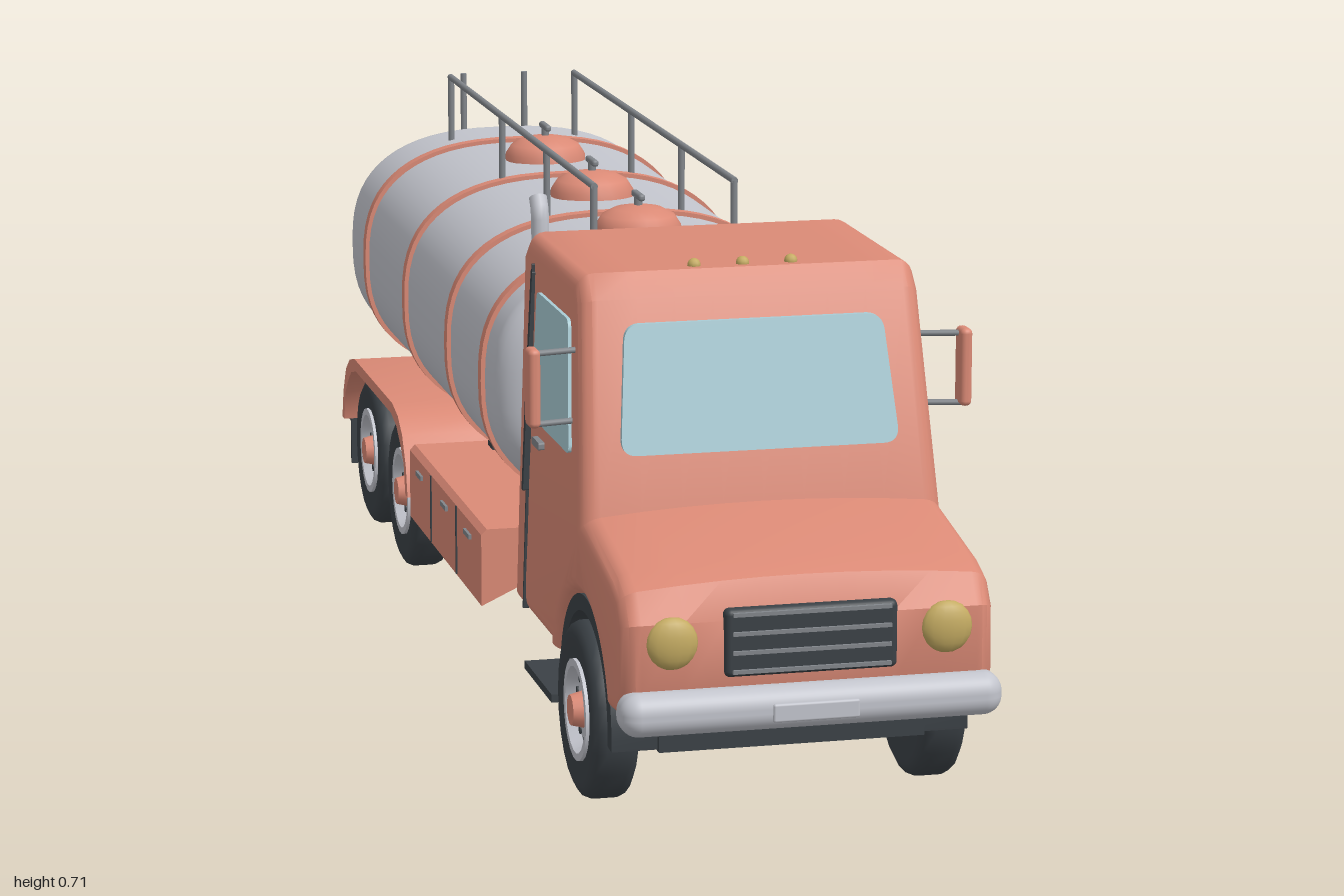
import * as THREE from 'three';
import { toCreasedNormals } from 'three/addons/utils/BufferGeometryUtils.js';
import { RoundedBoxGeometry } from 'three/addons/geometries/RoundedBoxGeometry.js';

const mat = (name, color) => Object.assign(new THREE.MeshStandardMaterial({ color }), { name });
const PAINT = mat('coral paint', 0xdb8a76), STEEL = mat('light steel', 0xc3c5cd);
const DARK = mat('dark rubber', 0x3b4146), GLASS = mat('window glass', 0xa9ccd5);
const GOLD = mat('lamp yellow', 0xc4ab62), GREY = mat('grey metal', 0x82868b);

export function createModel() {
  const root = new THREE.Group();
  root.name = 'tankTruck';

  const add = (name, geo, material, x = 0, y = 0, z = 0, parent = root) => {
    const m = new THREE.Mesh(geo, material);
    m.name = name;
    m.position.set(x, y, z);
    parent.add(m);
    return m;
  };
  const box = (name, m, w, h, d, x, y, z) => add(name, new THREE.BoxGeometry(w, h, d), m, x, y, z);
  const rod = (name, m, a, b, r) => {
    const p = new THREE.Vector3(...a), q = new THREE.Vector3(...b), dir = q.clone().sub(p);
    const mesh = add(name, new THREE.CylinderGeometry(r, r, dir.length(), 10), m);
    mesh.position.copy(p).add(q).multiplyScalar(0.5);
    mesh.quaternion.setFromUnitVectors(new THREE.Vector3(0, 1, 0), dir.normalize());
    return mesh;
  };
  const poly = pts => new THREE.Shape(pts.map(p => new THREE.Vector2(...p)));
  const roundedPoly = (pts, r) => {
    const s = new THREE.Shape(), v = pts.map(p => new THREE.Vector2(...p));
    v.forEach((p, i) => {
      const toward = q => q.clone().sub(p).setLength(r).add(p);
      const a = toward(v[(i + v.length - 1) % v.length]), b = toward(v[(i + 1) % v.length]);
      if (i) s.lineTo(a.x, a.y); else s.moveTo(a.x, a.y);
      s.quadraticCurveTo(p.x, p.y, b.x, b.y);
    });
    return s;
  };
  // Extrudes a (z, y) side profile across x, centred
  const sideExtrude = (shape, width, bevel = 0, steps = 1) => {
    const depth = width - 2 * bevel;
    return new THREE.ExtrudeGeometry(shape, {
      depth, steps, curveSegments: 16, bevelEnabled: bevel > 0, bevelThickness: bevel,
      bevelSize: bevel, bevelOffset: -bevel, bevelSegments: 5,
    }).translate(0, 0, -depth / 2).rotateY(-Math.PI / 2);
  };
  const warp = (geo, rule) => {
    const p = geo.attributes.position, v = new THREE.Vector3();
    for (let i = 0; i < p.count; i++) {
      rule(v.fromBufferAttribute(p, i));
      p.setXYZ(i, v.x, v.y, v.z);
    }
    geo.computeVertexNormals();
    return geo;
  };

  // Cab and hood: one side profile, narrowed to the roof and crowned on the hood
  const halfWidth = y => 0.242 - 0.05 * Math.max(0, y - 0.35);
  const cab = new THREE.Shape();
  cab.moveTo(0.313, 0.155);
  cab.lineTo(0.585, 0.155);
  cab.absarc(0.727, 0.117, 0.147, Math.PI - 0.262, 0.262, true);
  [[0.95, 0.16], [0.968, 0.2], [0.965, 0.29], [0.94, 0.325], [0.9, 0.34], [0.735, 0.37],
    [0.667, 0.642], [0.64, 0.673], [0.342, 0.673], [0.313, 0.645]].forEach(p => cab.lineTo(...p));
  const cabGeo = warp(sideExtrude(cab, 0.484, 0.025, 8), v => {
    if (v.z > 0.7 && v.y > 0.3 && v.y < 0.4) v.y += 0.013 * (1 - (v.x / 0.242) ** 2);
    v.x *= halfWidth(v.y) / 0.242;
  });
  add('cab', toCreasedNormals(cabGeo, 0.5), PAINT);

  // Windscreen
  const screen = new THREE.ExtrudeGeometry(
    roundedPoly([[-0.186, 0.448], [0.186, 0.448], [0.172, 0.612], [-0.172, 0.612]], 0.022),
    { depth: 0.009, bevelEnabled: false });
  add('windscreen', warp(screen, v => { v.z += 0.733 - (v.y - 0.372) * 0.25; }), GLASS);

  // Thin plates that follow the cab sides
  const sidePlate = (name, m, pts, r) => {
    for (const s of [-1, 1]) {
      const g = sideExtrude(roundedPoly(pts, r), 0.008);
      add(name, warp(g, v => { v.x += s * halfWidth(v.y); }), m);
    }
  };
  const rect = (z0, z1, y0, y1) => [[z0, y0], [z1, y0], [z1, y1], [z0, y1]];
  sidePlate('sideWindow', GLASS, [[0.43, 0.44], [0.66, 0.44], [0.622, 0.61], [0.43, 0.61]], 0.012);
  sidePlate('doorGap', DARK, rect(0.391, 0.395, 0.165, 0.64), 0.001);
  sidePlate('doorHinge', DARK, rect(0.388, 0.398, 0.5, 0.63), 0.002);
  sidePlate('doorHinge', DARK, rect(0.388, 0.398, 0.33, 0.46), 0.002);
  sidePlate('doorHandle', GREY, rect(0.44, 0.485, 0.405, 0.415), 0.003);

  // Nose: grille, headlamps, bumper and roof lamps
  add('grille', new RoundedBoxGeometry(0.224, 0.088, 0.02, 3, 0.008), DARK, 0, 0.262, 0.964);
  for (let i = 0; i < 4; i++) box('grilleSlat', GREY, 0.205, 0.005, 0.008, 0, 0.226 + i * 0.0245, 0.974);
  for (const s of [-1, 1]) {
    const lamp = add('headlamp', new THREE.SphereGeometry(0.034, 14, 10), GOLD, s * 0.178, 0.265, 0.964);
    lamp.scale.z = 0.45;
  }
  add('frontBumper', new RoundedBoxGeometry(0.496, 0.056, 0.06, 5, 0.025), STEEL, 0, 0.178, 0.967);
  add('numberPlate', new RoundedBoxGeometry(0.112, 0.024, 0.008, 2, 0.003), STEEL, 0, 0.176, 0.996);
  for (const x of [-0.065, 0, 0.065])
    add('roofLamp', new THREE.SphereGeometry(0.009, 10, 8), GOLD, x, 0.674, 0.62);
  box('engineUndertray', DARK, 0.35, 0.2, 0.3, 0, 0.2, 0.735);

  // Tank sections: superellipse rings joined along z; each row is [z, inset]
  const loft = rows => {
    const n = 64, pos = [], idx = [];
    for (const [z, inset] of rows) for (let i = 0; i < n; i++) {
      const t = i / n * Math.PI * 2, c = Math.cos(t), s = Math.sin(t), e = 2 / 2.6;
      const k = 1 - Math.max(0, inset) / 0.18, o = Math.min(0, inset);
      pos.push((0.25 * k - o) * Math.sign(c) * Math.abs(c) ** e,
        0.432 + (0.18 * k - o) * Math.sign(s) * Math.abs(s) ** e, z);
    }
    for (let r = 0; r < rows.length - 1; r++) for (let i = 0; i < n; i++) {
      const a = r * n + i, b = r * n + (i + 1) % n;
      idx.push(a, b, b + n, a, b + n, a + n);
    }
    const g = new THREE.BufferGeometry();
    g.setAttribute('position', new THREE.Float32BufferAttribute(pos, 3));
    g.setIndex(idx);
    g.computeVertexNormals();
    return g;
  };
  const cap = [[0, 0.1799], [0.004, 0.11]];
  for (let i = 0; i <= 7; i++) {
    const t = i / 7 * Math.PI / 2;
    cap.push([0.01 + 0.05 * (1 - Math.sin(t)) * 1, 0.05 * (1 - Math.cos(t))]);
  }
  // Rounded edge runs from the end face out to the full section
  const edge = cap.slice(0, 2).concat(cap.slice(2).reverse().map(([d, i]) => [d, i]));
  const rows = edge.map(([d, i]) => [-0.95 + d, i])
    .concat(edge.slice().reverse().map(([d, i]) => [0.275 - d, i]));
  add('tank', loft(rows), STEEL);
  for (const z of [0.155, -0.09, -0.42, -0.75])
    add('tankBand', toCreasedNormals(
      loft([[z - 0.01, 0.01], [z - 0.01, -0.006], [z + 0.01, -0.006], [z + 0.01, 0.01]]), 0.6), PAINT);

  // Filling hatches
  const hatch = [[0.062, -0.01], [0.061, 0.01], [0.052, 0.024], [0.035, 0.033], [0.015, 0.037], [0, 0.038]];
  for (const z of [0.035, -0.26, -0.585]) {
    add('hatch', new THREE.LatheGeometry(hatch.map(p => new THREE.Vector2(...p)), 24), PAINT, 0, 0.61, z);
    add('hatchHandle', new RoundedBoxGeometry(0.01, 0.01, 0.05, 2, 0.004), GREY, 0, 0.661, z);
    rod('hatchStem', GREY, [0, 0.64, z], [0, 0.66, z], 0.006);
  }

  // Roof handrails and rear ladder
  for (const x of [-0.1, 0.1]) {
    rod('handrail', GREY, [x, 0.705, 0.194], [x, 0.705, -0.829], 0.005);
    for (const z of [0.19, -0.115, -0.43, -0.825]) rod('railPost', GREY, [x, 0.59, z], [x, 0.705, z], 0.005);
  }
  for (const x of [-0.05, 0.05]) {
    rod('ladderRail', GREY, [x, 0.205, -0.975], [x, 0.687, -0.975], 0.005);
    for (const y of [0.33, 0.51]) rod('ladderBracket', GREY, [x, y, -0.975], [x, y, -0.94], 0.004);
  }
  for (let i = 0; i < 9; i++) rod('ladderRung', GREY, [-0.05, 0.24 + i * 0.042, -0.975], [0.05, 0.24 + i * 0.042, -0.975], 0.004);

  // Exhaust stack
  const stack = new THREE.CatmullRomCurve3([[0.262, 0.24], [0.262, 0.45], [0.262, 0.66], [0.26, 0.69], [0.248, 0.708]]
    .map(([z, y]) => new THREE.Vector3(-0.197, y, z)));
  const pipe = add('exhaustStack', new THREE.TubeGeometry(stack, 30, 0.0125, 12), STEEL);
  pipe.position.z = 0.026;
  rod('muffler', DARK, [-0.197, 0.22, 0.288], [-0.197, 0.36, 0.288], 0.019);

  // Chassis, saddles and driveline
  for (const x of [-0.09, 0.09]) box('chassisRail', DARK, 0.03, 0.05, 1.28, x, 0.208, -0.32);
  for (const z of [0.17, -0.29, -0.62, -0.88]) {
    box('tankSaddle', DARK, 0.3, 0.05, 0.035, 0, 0.25, z);
    box('crossMember', DARK, 0.18, 0.035, 0.03, 0, 0.208, z);
  }
  rod('driveShaft', DARK, [0, 0.13, 0.6], [0, 0.117, -0.78], 0.013);

  // Wheels: x axis is the axle, the dished side faces outward
  const lathe = pts => new THREE.LatheGeometry(pts.map(p => new THREE.Vector2(...p)), 22);
  const tyre = lathe([[0.064, -0.026], [0.1, -0.031], [0.112, -0.025], [0.117, -0.014],
    [0.117, 0.014], [0.112, 0.025], [0.1, 0.031], [0.064, 0.026]]);
  const rim = toCreasedNormals(lathe([[0.067, 0], [0.067, 0.031], [0.057, 0.031], [0.05, 0.016], [0.03, 0.018], [0, 0.022]]), 0.5);
  const wheel = (name, x, z) => {
    const g = new THREE.Group();
    g.name = name;
    g.position.set(x, 0.117, z);
    g.rotation.z = -Math.sign(x) * Math.PI / 2;
    root.add(g);
    add('tyre', tyre, DARK, 0, 0, 0, g);
    add('rim', rim, STEEL, 0, 0, 0, g);
    add('rimBack', new THREE.CylinderGeometry(0.066, 0.066, 0.03, 22), GREY, 0, -0.008, 0, g);
    add('hub', new THREE.CylinderGeometry(0.02, 0.025, 0.02, 14), PAINT, 0, 0.027, 0, g);
    for (let i = 0; i < 10; i++) {
      const t = i / 10 * Math.PI * 2;
      add('rimHole', new THREE.CylinderGeometry(0.006, 0.006, 0.006, 8), DARK, 0.043 * Math.cos(t), 0.016, 0.043 * Math.sin(t), g);
    }
  };
  for (const z of [0.727, -0.5, -0.78]) {
    rod('axle', DARK, [-0.2, 0.117, z], [0.2, 0.117, z], 0.017);
    if (z < 0) add('differential', new THREE.SphereGeometry(0.046, 16, 12), DARK, 0, 0.117, z);
    for (const s of [-1, 1]) {
      wheel('wheel', s * 0.218, z);
      if (z < 0) wheel('innerWheel', s * 0.157, z);
    }
  }

  // Profiles for parts mirrored on both sides
  const liner = new THREE.Shape();
  liner.absarc(0.727, 0.117, 0.15, -0.1, Math.PI + 0.1, false);
  liner.absarc(0.727, 0.117, 0.128, Math.PI + 0.1, -0.1, true);
  const arch = [[-0.36, 0.14], [-0.372, 0.185], [-0.4, 0.228], [-0.435, 0.25], [-0.48, 0.26],
    [-0.81, 0.26], [-0.855, 0.25], [-0.89, 0.228], [-0.917, 0.185], [-0.93, 0.14]];
  const inner = arch.map(([z, y]) => [-0.645 + (z + 0.645) * 0.935, y - (y > 0.2 ? 0.018 : 0)]).reverse();
  const fender = toCreasedNormals(sideExtrude(poly([...arch, ...inner]), 0.143), 0.6);
  const lockerShape = s => poly([[s * 0.11, 0.19], [s * 0.264, 0.118], [s * 0.264, 0.22], [s * 0.256, 0.228], [s * 0.11, 0.228]]);

  for (const s of [-1, 1]) {
    add('wheelArchLiner', toCreasedNormals(sideExtrude(liner, 0.06), 0.6), DARK, s * 0.205);
    add('rearFender', fender, PAINT, s * 0.192);

    // Side lockers with seams and handles
    add('sideLocker', new THREE.ExtrudeGeometry(lockerShape(s), { depth: 0.535, bevelEnabled: false }), PAINT, 0, 0, -0.335);
    for (const z of [0.025, -0.165]) box('lockerSeam', DARK, 0.004, 0.1, 0.004, s * 0.264, 0.17, z);
    for (const z of [0.11, -0.06, -0.25]) box('lockerHandle', GREY, 0.006, 0.007, 0.04, s * 0.265, 0.2, z);

    // Cab step
    box('cabStep', DARK, 0.075, 0.011, 0.17, s * 0.21, 0.09, 0.495);
    box('stepBracket', DARK, 0.012, 0.075, 0.014, s * 0.195, 0.125, 0.495);

    // Door mirror on two arms
    add('mirror', new RoundedBoxGeometry(0.016, 0.104, 0.032, 3, 0.007), PAINT, s * 0.289, 0.532, 0.664);
    for (const y of [0.483, 0.576]) rod('mirrorArm', GREY, [s * 0.222, y, 0.65], [s * 0.289, y, 0.664], 0.004);

    // Mudflap, bumper bracket and tail lamps
    box('mudflap', DARK, 0.12, 0.15, 0.007, s * 0.188, 0.135, -0.938);
    box('bumperBracket', DARK, 0.025, 0.07, 0.035, s * 0.09, 0.17, -0.955);
    add('tailLamp', new THREE.SphereGeometry(0.016, 12, 8), PAINT, s * 0.225, 0.2, -0.942);
    add('bumperLamp', new RoundedBoxGeometry(0.036, 0.022, 0.01, 2, 0.004), PAINT, s * 0.215, 0.14, -0.996);
  }
  box('rearCrossBeam', DARK, 0.36, 0.035, 0.03, 0, 0.2, -0.94);
  add('rearBumper', new RoundedBoxGeometry(0.496, 0.044, 0.05, 4, 0.018), DARK, 0, 0.14, -0.974);
  add('rearPlate', new RoundedBoxGeometry(0.1, 0.024, 0.006, 2, 0.002), STEEL, 0, 0.14, -0.998);
  return root;
}
